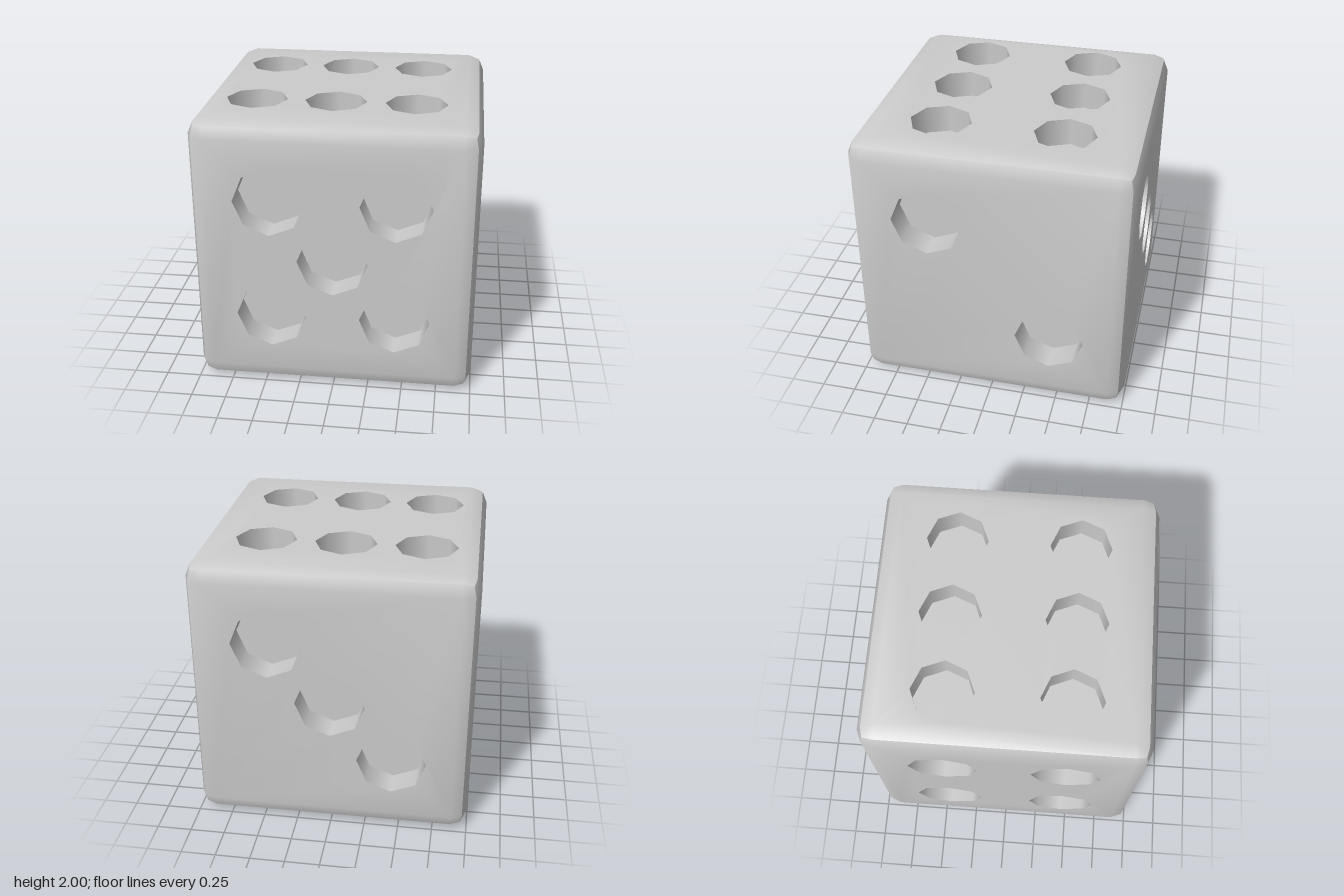
import * as THREE from 'three';
import { mergeGeometries, toCreasedNormals } from 'three/addons/utils/BufferGeometryUtils.js';

const BEVEL = 0.12, FLAT = 1 - BEVEL;
const MID = FLAT + BEVEL * Math.SQRT1_2;        // middle of a rounded edge
const TIP = FLAT + BEVEL / Math.sqrt(3);        // middle of a rounded corner
const DEPTH = 0.2, G = 0.44;

// Each side: rotation, pip radius and pip centres as seen facing that side
const SIDES = [
  { name: 'front', rot: [0, 0], r: 0.25, pips: [[-G, G], [G, G], [0, 0], [-G, -G], [G, -G]] },
  { name: 'back', rot: [0, Math.PI], r: 0.25, pips: [[-G, G], [0, 0], [G, -G]] },
  { name: 'left', rot: [0, Math.PI / 2], r: 0.25, pips: [[-G, G], [G, -G]] },
  { name: 'right', rot: [0, -Math.PI / 2], r: 0.25, pips: [[-G, G], [G, G], [-G, -G], [G, -G]] },
  { name: 'top', rot: [-Math.PI / 2, 0], r: 0.22,
    pips: [-0.605, -0.04, 0.53].flatMap((x) => [[x, G], [x, -G]]) },
  { name: 'bottom', rot: [Math.PI / 2, 0], r: 0.23, pips: [[0, 0]] },
];

function quad(a, b, c, d) {
  const g = new THREE.BufferGeometry();
  g.setAttribute('position', new THREE.Float32BufferAttribute([a, b, c, a, c, d].flat(), 3));
  return g;
}

// Flat panel with octagonal holes, plus its half of the rounded border
function panelGeometry(pips, r) {
  const shape = new THREE.Shape([[-1, -1], [1, -1], [1, 1], [-1, 1]]
    .map(([x, y]) => new THREE.Vector2(x * FLAT, y * FLAT)));
  for (const [x, y] of pips) {
    const ring = [];
    for (let i = 0; i < 8; i++) {
      const a = -i * Math.PI / 4;
      ring.push(new THREE.Vector2(x + r * Math.cos(a), y + r * Math.sin(a)));
    }
    shape.holes.push(new THREE.Path(ring));
  }
  const flat = new THREE.ShapeGeometry(shape).toNonIndexed().translate(0, 0, 1);
  flat.deleteAttribute('uv');
  flat.deleteAttribute('normal');
  const parts = [flat];
  for (let i = 0; i < 4; i++) {
    const a = i * Math.PI / 2;
    parts.push(
      quad([FLAT, -FLAT, 1], [MID, -FLAT, MID], [MID, FLAT, MID], [FLAT, FLAT, 1]).rotateZ(a),
      quad([FLAT, FLAT, 1], [MID, FLAT, MID], [TIP, TIP, TIP], [FLAT, MID, MID]).rotateZ(a));
  }
  return toCreasedNormals(mergeGeometries(parts), 0.6);
}

export function createModel() {
  const grey = new THREE.MeshStandardMaterial({ color: 0xcccccc });
  grey.name = 'light grey';
  const die = new THREE.Group();
  die.name = 'die';
  die.position.y = 1;

  for (const { name, rot, r, pips } of SIDES) {
    const side = new THREE.Group();
    side.name = name + 'Side';
    side.rotation.set(rot[0], rot[1], 0);
    const panel = new THREE.Mesh(panelGeometry(pips, r), grey);
    panel.name = name + 'Panel';
    side.add(panel);

    // Recessed pips: inward-facing octagonal wall and a flat floor
    const wall = new THREE.LatheGeometry(
      [new THREE.Vector2(r, 0), new THREE.Vector2(r, -DEPTH)], 8).rotateX(Math.PI / 2);
    const floor = new THREE.CircleGeometry(r, 8).translate(0, 0, -DEPTH);
    for (const [x, y] of pips) {
      const pip = new THREE.Group();
      pip.name = 'pip';
      pip.position.set(x, y, 1);
      const wallMesh = new THREE.Mesh(wall, grey);
      wallMesh.name = 'pipWall';
      const floorMesh = new THREE.Mesh(floor, grey);
      floorMesh.name = 'pipFloor';
      pip.add(wallMesh, floorMesh);
      side.add(pip);
    }
    die.add(side);
  }

  const model = new THREE.Group();
  model.name = 'model';
  model.add(die);
  return model;
}
